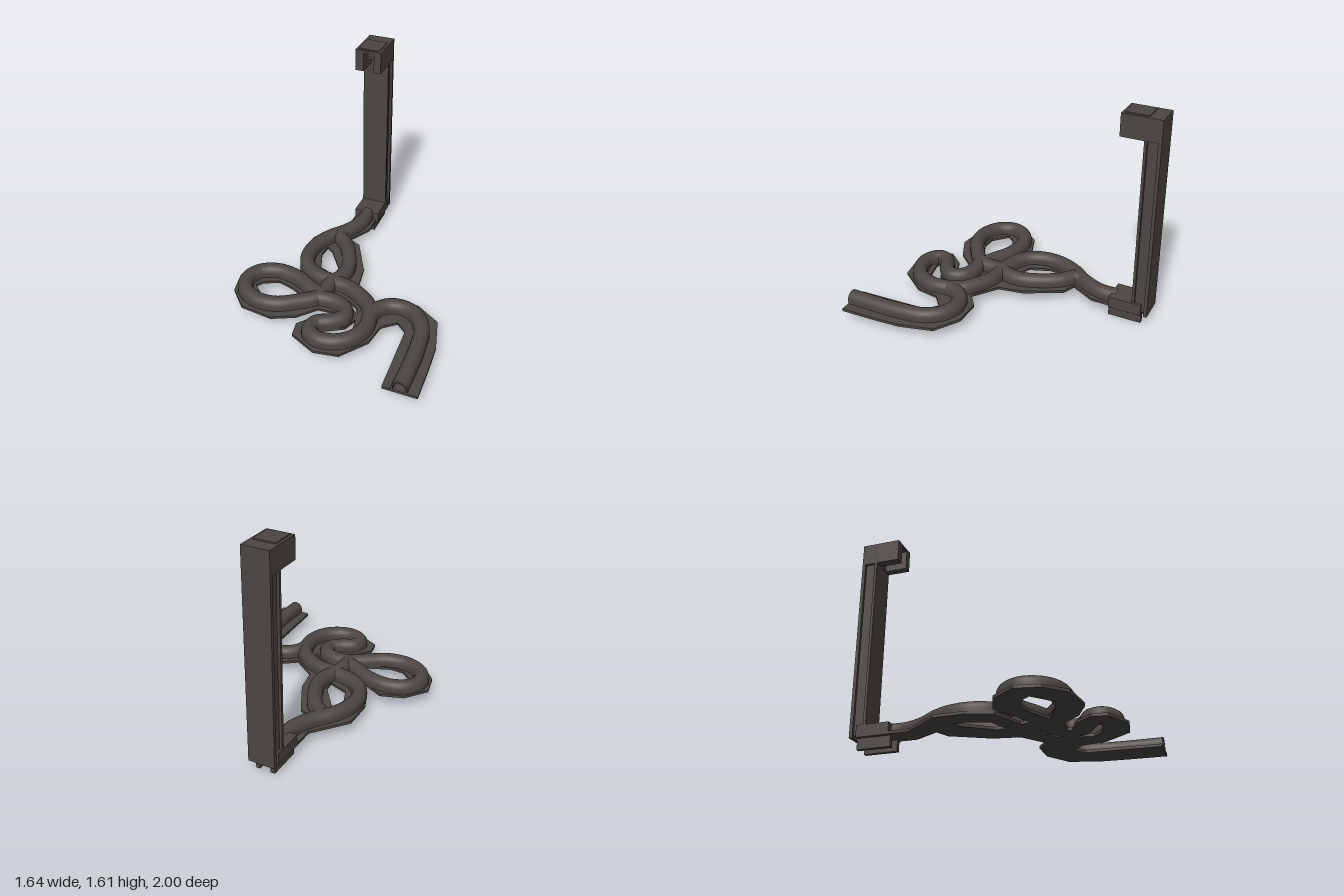
import * as THREE from 'three';

const dark = new THREE.MeshStandardMaterial({ color: 0x4b4643, side: THREE.DoubleSide });
dark.name = 'charcoal';

const BASE_Y = 0.08, PLATE_Y = 0.1, TOP_Y = 0.183, RADIUS = 0.056;

function add(group, name, geometry) {
  const mesh = new THREE.Mesh(geometry, dark);
  mesh.name = name;
  group.add(mesh);
  return mesh;
}

// Box given by its minimum and maximum on each axis
function box(group, name, x0, x1, y0, y1, z0, z1) {
  add(group, name, new THREE.BoxGeometry(x1 - x0, y1 - y0, z1 - z0))
    .position.set((x0 + x1) / 2, (y0 + y1) / 2, (z0 + z1) / 2);
}

// Half-round arch profile: [sideways offset, height]
function archProfile(r, top) {
  const pts = [[-r, PLATE_Y]];
  for (let i = 0; i <= 12; i++) {
    const a = Math.PI * (1 - i / 12);
    pts.push([Math.cos(a) * r, top - r + Math.sin(a) * r]);
  }
  pts.push([r, PLATE_Y]);
  return pts;
}

// Sweep the arch along a flat curve through [x, z] points
function archSweep(points, closed = false, r = RADIUS, top = TOP_Y) {
  const curve = new THREE.CatmullRomCurve3(
    points.map(([x, z]) => new THREE.Vector3(x, 0, z)), closed, 'centripetal');
  const profile = archProfile(r, top), n = points.length * 8, m = profile.length;
  const pos = [], index = [];
  for (let i = 0; i <= n; i++) {
    const p = curve.getPointAt(i / n), t = curve.getTangentAt(i / n);
    for (const [s, y] of profile) pos.push(p.x - t.z * s, y, p.z + t.x * s);
  }
  for (let i = 0; i < n; i++) {
    for (let j = 0; j < m - 1; j++) {
      const a = i * m + j, b = a + m;
      index.push(a, a + 1, b, b, a + 1, b + 1);
    }
  }
  const g = new THREE.BufferGeometry();
  g.setAttribute('position', new THREE.Float32BufferAttribute(pos, 3));
  g.setIndex(index);
  g.computeVertexNormals();
  return g;
}

const outline = [
  [-0.3, -0.75], [-0.3, -0.55], [-0.5, -0.3], [-0.5, -0.07], [-0.435, 0.1], [-0.2, 0.2],
  [-0.2, 0.26], [-0.27, 0.25], [-0.525, 0.12], [-0.695, 0.18], [-0.82, 0.345], [-0.785, 0.51],
  [-0.65, 0.65], [-0.4, 0.68], [-0.235, 0.6], [-0.12, 0.47], [0.02, 0.46], [0.03, 0.49],
  [-0.11, 0.56], [-0.2, 0.67], [-0.18, 0.78], [0.02, 0.875], [0.2, 0.845], [0.345, 0.65],
  [0.37, 0.48], [0.467, 0.395], [0.545, 0.46], [0.57, 1], [0.82, 1], [0.81, 0.74],
  [0.795, 0.53], [0.73, 0.285], [0.545, 0.17], [0.345, 0.17], [0.24, 0.25], [0.06, 0.12],
  [0.025, -0.07], [-0.12, -0.34], [-0.22, -0.385], [-0.12, -0.565], [-0.12, -0.75],
];
const holes = [
  [[-0.34, -0.22], [-0.29, -0.19], [-0.15, 0], [-0.14, 0.085], [-0.29, 0.03], [-0.35, -0.13]],
  [[-0.66, 0.4], [-0.625, 0.35], [-0.515, 0.295], [-0.39, 0.33], [-0.22, 0.41], [-0.445, 0.505], [-0.55, 0.5]],
  [[-0.05, 0.29], [0.02, 0.29], [0.13, 0.35], [0.17, 0.42], [0.12, 0.38], [0.04, 0.32]],
  [[0.175, 0.48], [0.2, 0.6], [0.13, 0.67], [0, 0.7], [-0.03, 0.68], [0.14, 0.58]],
];

// Faceted base plate with the loop openings
function plateGeometry() {
  const vec = ([x, z]) => new THREE.Vector2(x, -z);
  const shape = new THREE.Shape(outline.map(vec));
  holes.forEach(h => shape.holes.push(new THREE.Path(h.map(vec))));
  const g = new THREE.ExtrudeGeometry(shape, { depth: PLATE_Y - BASE_Y, bevelEnabled: false });
  g.rotateX(-Math.PI / 2);
  g.translate(0, BASE_Y, 0);
  return g;
}

export function createModel() {
  const model = new THREE.Group();
  model.name = 'loopingChannelWithTower';

  // Winding channel on its plate
  const channel = new THREE.Group();
  channel.name = 'windingChannel';
  model.add(channel);
  add(channel, 'basePlate', plateGeometry());
  add(channel, 'mainChannel', archSweep([
    [-0.2, -0.74], [-0.205, -0.6], [-0.27, -0.45], [-0.36, -0.33], [-0.42, -0.2], [-0.43, -0.05],
    [-0.38, 0.07], [-0.28, 0.145], [-0.13, 0.18], [0.01, 0.2], [0.12, 0.25], [0.22, 0.33],
    [0.27, 0.44], [0.28, 0.57], [0.23, 0.69], [0.13, 0.765], [0.01, 0.78], [-0.075, 0.72],
    [-0.06, 0.64], [0.04, 0.58], [0.1, 0.51], [0.07, 0.42], [-0.03, 0.38], [-0.17, 0.39],
  ]));
  add(channel, 'upperLoopBranch', archSweep([
    [-0.29, -0.42], [-0.29, -0.36], [-0.2, -0.27], [-0.12, -0.13], [-0.08, 0], [-0.09, 0.11],
    [-0.13, 0.2], [-0.14, 0.38],
  ]));
  add(channel, 'sideLoop', archSweep([
    [-0.15, 0.37], [-0.25, 0.31], [-0.38, 0.24], [-0.55, 0.215], [-0.68, 0.27], [-0.735, 0.38],
    [-0.69, 0.5], [-0.57, 0.57], [-0.42, 0.565], [-0.28, 0.485],
  ], true));
  const outlet = [
    [0.27, 0.42], [0.29, 0.35], [0.36, 0.28], [0.46, 0.26], [0.57, 0.3], [0.65, 0.41],
    [0.68, 0.58], [0.69, 0.8], [0.69, 1],
  ];
  add(channel, 'outletChannel', archSweep(outlet));
  add(channel, 'outletInside', archSweep(outlet.slice(4), false, 0.044, TOP_Y - 0.012));

  // Rim closing the wall at the open end
  const rim = new THREE.Shape(archProfile(RADIUS, TOP_Y)
    .concat(archProfile(0.044, TOP_Y - 0.012).reverse()).map(([x, y]) => new THREE.Vector2(x, y)));
  add(channel, 'outletRim', new THREE.ShapeGeometry(rim)).position.set(0.69, 0, 1);

  // Connector block and its prongs
  const connector = new THREE.Group();
  connector.name = 'connector';
  model.add(connector);
  box(connector, 'connectorBlock', -0.3, -0.1, BASE_Y, 0.168, -0.95, -0.705);
  for (const x of [-0.255, -0.143]) box(connector, 'prong', x - 0.016, x + 0.016, 0, BASE_Y, -0.95, -0.7);

  // Tower: front and back slabs with grooved sides
  const tower = new THREE.Group();
  tower.name = 'tower';
  model.add(tower);
  box(tower, 'backSlab', -0.3, -0.1, BASE_Y, 1.605, -1, -0.975);
  box(tower, 'core', -0.28, -0.12, 0.1, 1.605, -0.975, -0.9);
  box(tower, 'frontSlab', -0.3, -0.1, 0.1, 1.605, -0.9, -0.88);

  // Overhanging head with a slot at the front
  const head = new THREE.Group();
  head.name = 'head';
  model.add(head);
  box(head, 'headBack', -0.3, -0.1, 1.44, 1.605, -0.999, -0.879);
  box(head, 'cheek', -0.3, -0.235, 1.44, 1.605, -0.879, -0.71);
  box(head, 'cheek', -0.155, -0.1, 1.44, 1.605, -0.879, -0.71);
  box(head, 'roof', -0.235, -0.155, 1.585, 1.605, -0.879, -0.71);
  box(head, 'slotStep', -0.235, -0.155, 1.51, 1.53, -0.879, -0.78);
  box(head, 'topPanel', -0.28, -0.12, 1.605, 1.613, -0.9, -0.73);
  return model;
}
